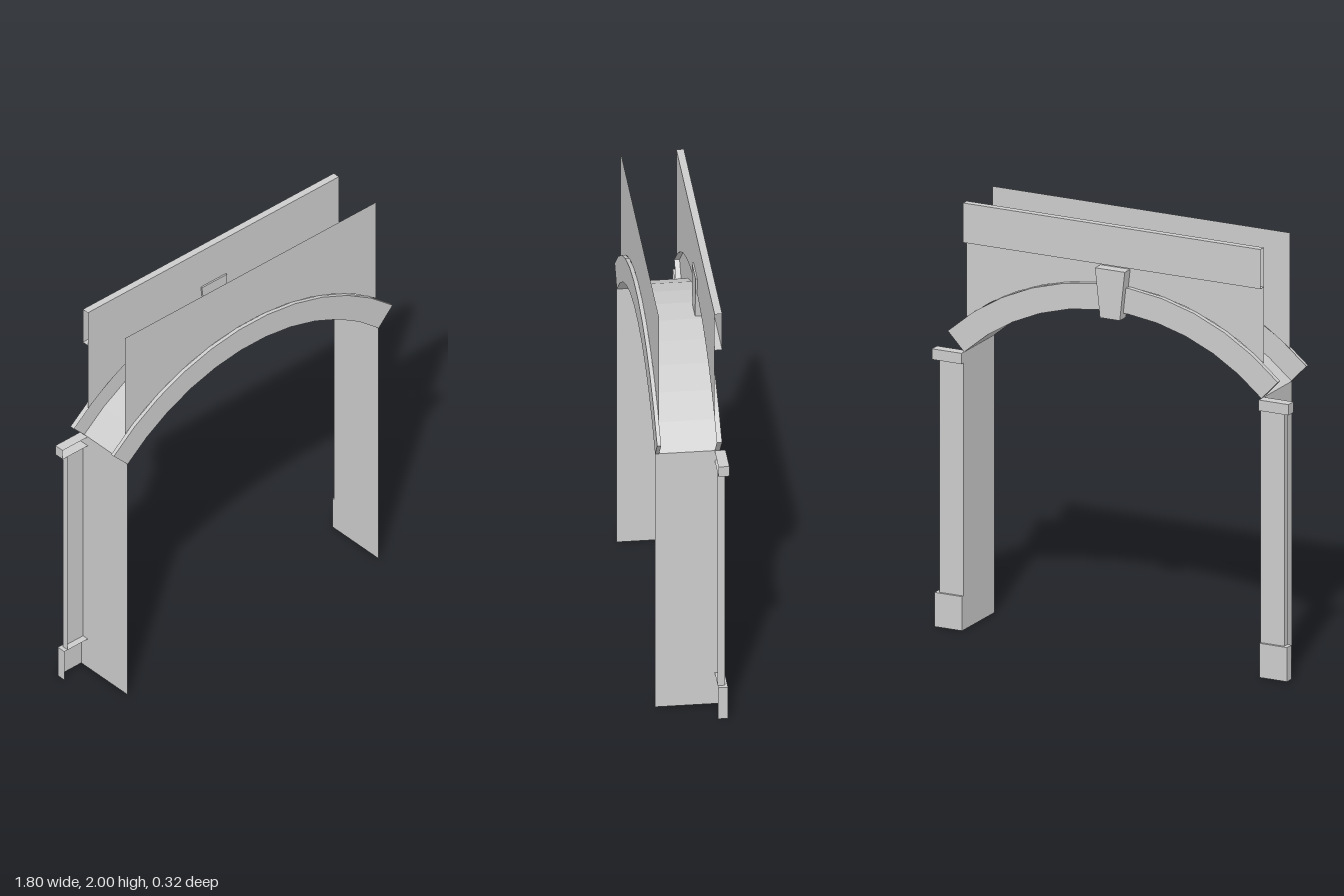
import * as THREE from 'three';

const stone = new THREE.MeshStandardMaterial({ color: 0xcccccc, side: THREE.DoubleSide });
stone.name = 'stone';

// Opening and arch measurements
const HALF = 0.75, SPRING = 1.3, TOP = 2;
const CY = 0.5125, R_IN = 1.0875, R_OUT = 1.2075;
const FRONT = 0.16, FRONT_WALL = 0.142, BACK_WALL = -0.108, BACK = -0.132;
const SEGMENTS = 11;

// Points on an arc centred on x = 0 whose half angle is a
function arc(r, a, z) {
  const pts = [];
  for (let i = 0; i <= SEGMENTS; i++) {
    const t = -a + (2 * a * i) / SEGMENTS;
    pts.push(new THREE.Vector3(r * Math.sin(t), CY + r * Math.cos(t), z));
  }
  return pts;
}

// Faceted sheet joining two rows of points; normals face (lower -> upper on the left of travel)
function sheet(name, lower, upper) {
  const pos = [];
  for (let i = 0; i < lower.length - 1; i++) {
    const [a, b, c, d] = [lower[i], lower[i + 1], upper[i + 1], upper[i]];
    for (const p of [a, b, c, a, c, d]) pos.push(p.x, p.y, p.z);
  }
  const g = new THREE.BufferGeometry();
  g.setAttribute('position', new THREE.Float32BufferAttribute(pos, 3));
  g.computeVertexNormals();
  return named(name, g);
}

function named(name, geometry) {
  const m = new THREE.Mesh(geometry, stone);
  m.name = name;
  return m;
}

// Box given by its limits, leaving out sides (0..5 = +x -x +y -y +z -z)
function openBox(name, [x0, x1], [y0, y1], [z0, z1], omit) {
  const g = new THREE.BoxGeometry(x1 - x0, y1 - y0, z1 - z0);
  const index = Array.from(g.index.array).filter((_, i) => !omit.includes(Math.floor(i / 6)));
  g.setIndex(index);
  g.clearGroups();
  g.translate((x0 + x1) / 2, (y0 + y1) / 2, (z0 + z1) / 2);
  return named(name, g);
}

// Raised arch moulding: face, outer rim and the two slanted ends
function archMoulding(name, zFace, zWall) {
  const group = new THREE.Group();
  group.name = name;
  const a = Math.asin(HALF / R_IN);
  const inner = arc(R_IN, a, zFace), outer = arc(R_OUT, a, zFace);
  const innerWall = arc(R_IN, a, zWall), outerWall = arc(R_OUT, a, zWall);
  const back = zFace < zWall;
  const add = (n, p, q) => group.add(back ? sheet(n, q, p) : sheet(n, p, q));
  add('archFace', inner, outer);
  add('archRim', outer, outerWall);
  const n = SEGMENTS;
  add('archEndLeft', [inner[n], innerWall[n]], [outer[n], outerWall[n]]);
  add('archEndRight', [innerWall[0], inner[0]], [outerWall[0], outer[0]]);
  return group;
}

// Flat wall above the arch
function wall(name, z, back) {
  const lower = arc(R_OUT, Math.asin(HALF / R_OUT), z);
  const upper = lower.map((p) => new THREE.Vector3(p.x, TOP, z));
  return back ? sheet(name, upper, lower) : sheet(name, lower, upper);
}

export function createModel() {
  const model = new THREE.Group();
  model.name = 'archway';

  // Walls, arch mouldings and the curved underside
  model.add(wall('frontWall', FRONT_WALL, false), wall('backWall', BACK_WALL, true));
  model.add(archMoulding('frontArch', FRONT, FRONT_WALL), archMoulding('backArch', BACK, BACK_WALL));
  const a = Math.asin(HALF / R_IN);
  model.add(sheet('soffit', arc(R_IN, a, BACK), arc(R_IN, a, FRONT)));

  // Jambs and back pilasters on both sides
  for (const s of [1, -1]) {
    const side = s > 0 ? 'left' : 'right';
    const jamb = new THREE.PlaneGeometry(FRONT - BACK_WALL, SPRING);
    jamb.rotateY((-s * Math.PI) / 2);
    jamb.translate(s * HALF, SPRING / 2, (FRONT + BACK_WALL) / 2);
    model.add(named(side + 'Jamb', jamb));

    const span = (w) => (s > 0 ? [HALF, HALF + w] : [-HALF - w, -HALF]);
    model.add(
      openBox(side + 'Plinth', span(0.14), [0, 0.16], [-0.152, BACK_WALL], [3, 4]),
      openBox(side + 'Pilaster', span(0.12), [0.16, 1.25], [-0.14, BACK_WALL], [2, 3, 4]),
      openBox(side + 'Capital', span(0.15), [1.25, SPRING], [-0.157, BACK_WALL], [4])
    );
  }

  // Band along the top of the back wall, open at its ends
  model.add(openBox('topBand', [-HALF, HALF], [1.815, TOP], [-0.142, BACK_WALL], [0, 1, 4]));

  // Tapered keystone on the back
  const key = new THREE.Shape([
    new THREE.Vector2(-0.05, 1.57), new THREE.Vector2(0.05, 1.57),
    new THREE.Vector2(0.075, 1.8), new THREE.Vector2(-0.075, 1.8),
  ]);
  const keyGeometry = new THREE.ExtrudeGeometry(key, { depth: 0.06, bevelEnabled: false });
  keyGeometry.translate(0, 0, -0.16);
  model.add(named('keystone', keyGeometry));

  return model;
}
